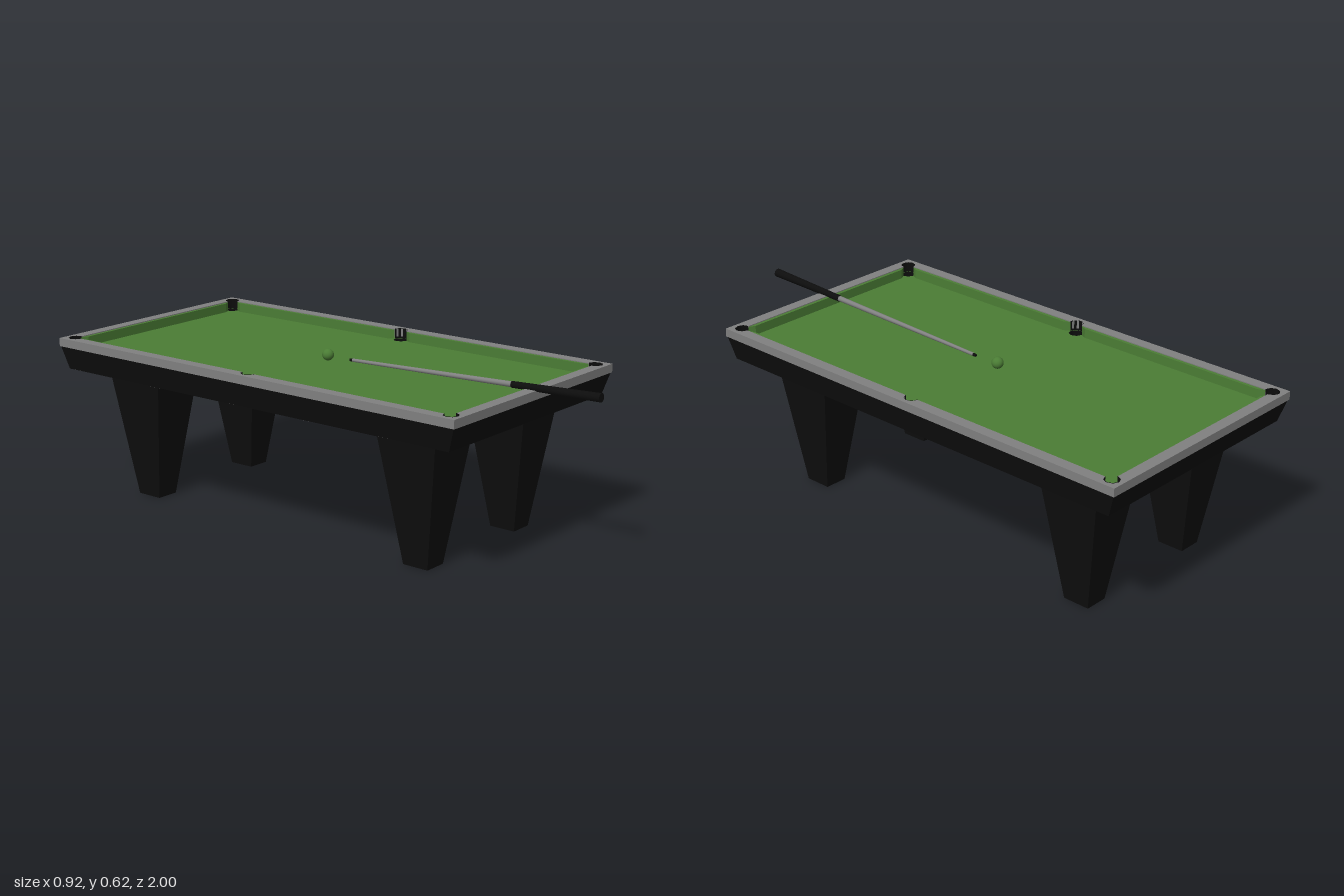
import * as THREE from 'three';

const black = new THREE.MeshStandardMaterial({ color: 0x0d0d0d, side: THREE.DoubleSide });
black.name = 'black';
const grey = new THREE.MeshStandardMaterial({ color: 0x808080 });
grey.name = 'grey';
const green = new THREE.MeshStandardMaterial({ color: 0x4b7d35 });
green.name = 'green';

const CZ = -0.12;            // table centre along z
const A = 0.418, B = 0.838;  // half size of the playing opening
const R = 0.027;             // pocket radius
const CLOTH = 0.548, RAIL_LOW = 0.555, RAIL_TOP = 0.585;

// Pockets in order round the table: x, y (= -z), start angle and sweep of the arc cut into the rail
const H = Math.PI / 2;
const pockets = [
  [A, B, -H, 3 * H], [-A, B, 0, 3 * H], [-A, 0, H, 2 * H],
  [-A, -B, H, 3 * H], [A, -B, 2 * H, 3 * H], [A, 0, -H, 2 * H],
];

function add(parent, name, geometry, material) {
  const mesh = new THREE.Mesh(geometry, material);
  mesh.name = name;
  parent.add(mesh);
  return mesh;
}

// Four-sided tapered block, given half sizes at the top and a taper ratio
function taperedBlock(hx, hz, ratio, y0, y1, open = false) {
  const g = new THREE.CylinderGeometry(Math.SQRT2, Math.SQRT2 * ratio, y1 - y0, 4, 1, open);
  g.rotateY(Math.PI / 4).scale(hx, 1, hz).translate(0, (y0 + y1) / 2, 0);
  const flat = g.toNonIndexed();
  flat.computeVertexNormals();
  return flat;
}

// Flat outline laid horizontally and raised from y0 to y1
function slab(shape, y0, y1) {
  return new THREE.ExtrudeGeometry(shape, { depth: y1 - y0, bevelEnabled: false, curveSegments: 4 })
    .rotateX(-Math.PI / 2).translate(0, y0, 0);
}

const rectangle = (hx, hy) => new THREE.Shape(
  [[-hx, -hy], [hx, -hy], [hx, hy], [-hx, hy]].map(p => new THREE.Vector2(...p)));

function arcPoints(x, y, start, sweep, r) {
  const n = Math.round(sweep / (Math.PI / 4));
  return Array.from({ length: n + 1 }, (_, i) => {
    const a = start + sweep * i / n;
    return new THREE.Vector2(x + r * Math.cos(a), y + r * Math.sin(a));
  });
}

export function createModel() {
  const model = new THREE.Group();
  model.name = 'poolTable';
  const table = new THREE.Group();
  table.name = 'table';
  table.position.z = CZ;
  model.add(table);

  // Legs with grey feet
  for (const sx of [-1, 1]) for (const sz of [-1, 1]) {
    const leg = add(table, 'leg', taperedBlock(0.104, 0.122, 0.41, 0, 0.474), [black, black, grey]);
    leg.position.set(sx * 0.251, 0, sz * 0.612);
  }

  // Sloping apron and underside
  add(table, 'apron', taperedBlock(0.457, 0.876, 0.97, 0.473, RAIL_LOW, true), black);
  add(table, 'underside', new THREE.BoxGeometry(0.884, 0.004, 1.696).translate(0, 0.4745, 0), grey);

  // Rail frame with pocket notches
  const frame = rectangle(0.46, 0.88);
  frame.holes.push(new THREE.Path(pockets.flatMap(p => arcPoints(...p, R))));
  add(table, 'rail', slab(frame, RAIL_LOW, RAIL_TOP), grey);

  // Cloth bed with pocket holes
  const bed = rectangle(0.449, 0.869);
  for (const [x, y] of pockets) bed.holes.push(new THREE.Path(arcPoints(x, y, 0, 4 * H, R).slice(0, 8)));
  add(table, 'cloth', slab(bed, CLOTH - 0.006, CLOTH), green);

  // Pocket liners: a cup below the cloth and an arc lining the rail notch
  for (const [x, y, start, sweep] of pockets) {
    const pocket = new THREE.Group();
    pocket.name = 'pocket';
    pocket.position.set(x, 0, -y);
    table.add(pocket);
    const r = R - 0.001;
    add(pocket, 'pocketCup', new THREE.CylinderGeometry(r, r, 0.03, 8, 1, true, H).translate(0, CLOTH - 0.016, 0), black);
    add(pocket, 'pocketFloor', new THREE.CircleGeometry(r, 8).rotateX(-H).translate(0, CLOTH - 0.03, 0), black);
    add(pocket, 'pocketLiner', new THREE.CylinderGeometry(r, r, RAIL_TOP - CLOTH + 0.001, 6, 1, true, start + H, sweep)
      .translate(0, (RAIL_TOP + CLOTH + 0.001) / 2, 0), black);
  }

  // Cushions with tapered ends between neighbouring pockets
  pockets.forEach(([x0, y0], i) => {
    const [x1, y1] = pockets[(i + 1) % 6];
    const half = Math.hypot(x1 - x0, y1 - y0) / 2;
    const strip = new THREE.Shape([[-half + R, 0], [half - R, 0], [half - 0.05, 0.012], [-half + 0.05, 0.012]]
      .map(p => new THREE.Vector2(...p)));
    const cushion = add(table, 'cushion', slab(strip, CLOTH, RAIL_TOP - 0.003), green);
    cushion.position.set((x0 + x1) / 2, 0, -(y0 + y1) / 2);
    cushion.rotation.y = Math.atan2(y1 - y0, x1 - x0);
  });

  // Ball
  add(table, 'ball', new THREE.SphereGeometry(0.021, 20, 14).translate(0, CLOTH + 0.0225, 0), green);

  // Cue, built along +y from its tip and then laid along z
  const cue = new THREE.Group();
  cue.name = 'cue';
  const section = (name, r0, r1, from, to, material) =>
    add(cue, name, new THREE.CylinderGeometry(r1, r0, to - from, 12).translate(0, (from + to) / 2, 0), material);
  section('cueTip', 0.005, 0.006, 0, 0.012, black);
  section('cueShaft', 0.006, 0.01, 0.012, 0.68, grey);
  section('cueButt', 0.0115, 0.0155, 0.68, 1.019, black);
  cue.position.set(0, 0.567, -0.02);
  cue.rotation.x = H - 0.032;
  model.add(cue);

  return model;
}
